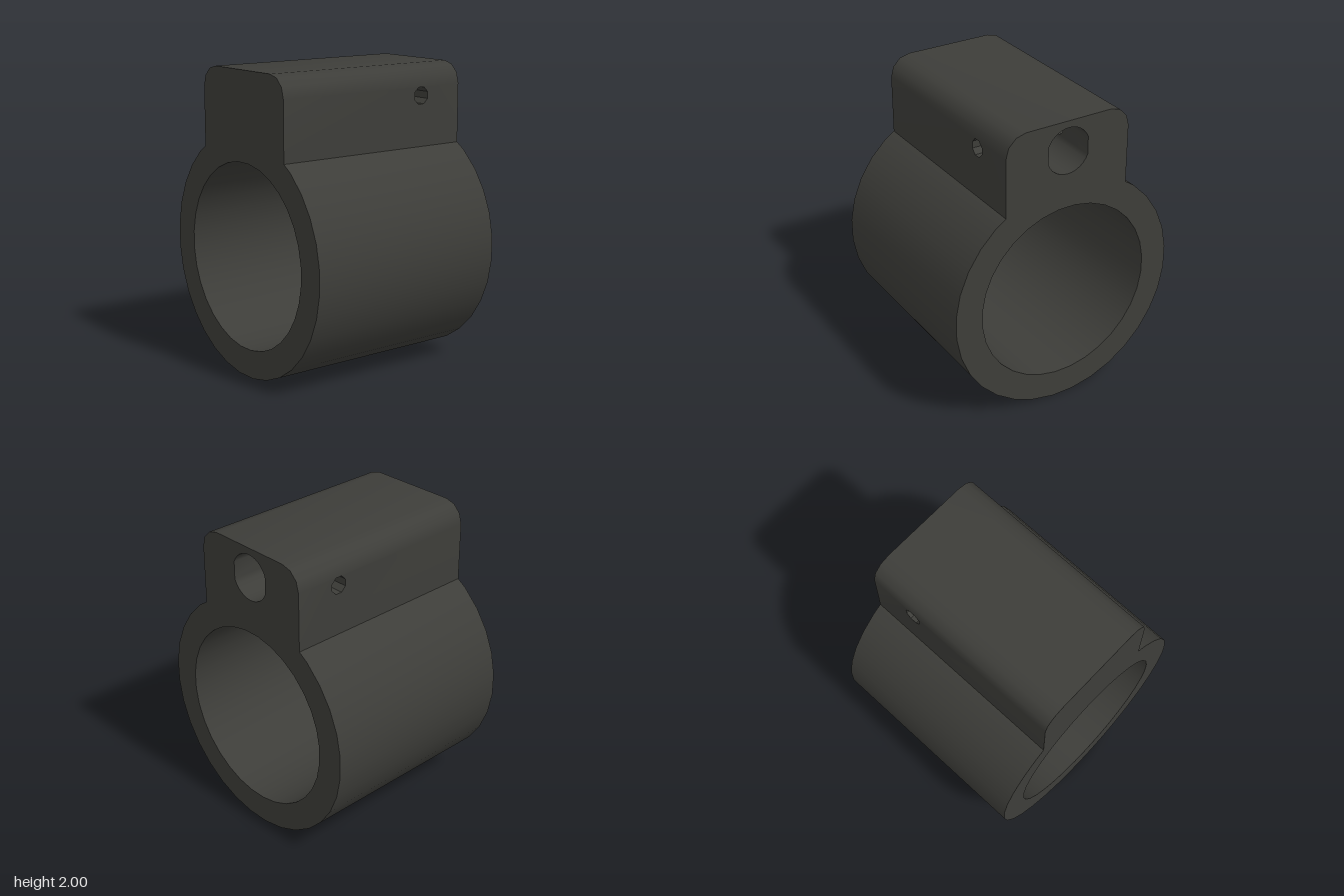
import * as THREE from 'three';
import { mergeGeometries, toCreasedNormals } from 'three/addons/utils/BufferGeometryUtils.js';

const H = 0.71, CY = 0.8;                       // half length, ring centre height
const STEP = Math.PI / 16, HALF = STEP / 2;     // 32-sided ring
const RO = 0.8 / Math.cos(HALF), RI = 0.6125 / Math.cos(HALF);
const W = 0.8 * Math.sin(3 * STEP), WY = CY + 0.8 * Math.cos(3 * STEP); // block side meets ring
const TUBE = 0.155, TY = 1.8, TEND = 0.45;      // blind hole in the block
const TX = TUBE * Math.cos(Math.PI / 8);
const PIN_Z = -0.385, PIN_R = 0.055 / Math.cos(Math.PI / 8);
const HEX = 0.17, HEX_A = HEX * 0.866, FLOOR = 0.11, POCKETS = [0, 0.45];
const EX = RO * Math.sin(HALF), OX = RO * Math.sin(3 * HALF);
const EH = HEX - (EX / HEX_A) * HEX / 2;        // pocket half length at the facet edge

// point on a circle around the ring centre, angle measured from straight down
const ringPoint = (r, t) => [r * Math.sin(t), CY - r * Math.cos(t)];
const arc = (n, f) => Array.from({ length: n + 1 }, (_, i) => f(i));
const mirror = pts => pts.map(([x, y]) => [-x, y]).reverse();

// height of the three lowest ring facets
const bottomY = x => Math.max(0, Math.abs(x) - EX) * (CY - RO * Math.cos(3 * HALF)) / (OX - EX);

function fromPositions(p) {
  const g = new THREE.BufferGeometry();
  g.setAttribute('position', new THREE.Float32BufferAttribute(p, 3));
  return g;
}

// surface between two matching rows of 3D points
function band(a, b) {
  const p = [];
  for (let i = 0; i < a.length - 1; i++) {
    p.push(...a[i], ...b[i], ...b[i + 1], ...a[i], ...b[i + 1], ...a[i + 1]);
  }
  return fromPositions(p);
}

// wall that carries an x,y profile along z
const strip = (pts, z0 = -H, z1 = H) =>
  band(pts.map(([x, y]) => [x, y, z1]), pts.map(([x, y]) => [x, y, z0]));

// flat outline with holes, placed in space by a mapping rule
function plate(pts, holes, map) {
  const toVec = ([u, v]) => new THREE.Vector2(u, v);
  const shape = new THREE.Shape(pts.map(toVec));
  holes.forEach(h => shape.holes.push(new THREE.Path(h.map(toVec))));
  const g = new THREE.ShapeGeometry(shape).toNonIndexed(), s = g.attributes.position, p = [];
  for (let i = 0; i < s.count; i++) p.push(...map(s.getX(i), s.getY(i)));
  return fromPositions(p);
}

const rect = (u0, v0, u1, v1) => [[u0, v0], [u1, v0], [u1, v1], [u0, v1]];

export function createModel() {
  const group = new THREE.Group();
  const material = new THREE.MeshStandardMaterial({ color: 0x3d3d39 });
  const add = (name, parts) => {
    const mesh = new THREE.Mesh(toCreasedNormals(mergeGeometries(parts), 0.6), material);
    mesh.name = name;
    group.add(mesh);
  };

  // profiles
  const rightRing = [...arc(11, i => ringPoint(RO, 3 * HALF + i * STEP)), [W, WY]];
  const rightCorner = arc(3, i => [
    W - 0.14 + 0.14 * Math.cos(i * Math.PI / 6), 1.86 + 0.14 * Math.sin(i * Math.PI / 6)]);
  const top = [...rightCorner, ...mirror(rightCorner)];
  const leftRing = mirror(rightRing);
  const bottom = arc(3, i => ringPoint(RO, (2 * i - 3) * HALF)).slice(1, 3);
  const outline = [...bottom, ...rightRing, ...top, ...leftRing];
  const bore = arc(32, i => ringPoint(RI, HALF + i * STEP)).reverse();
  const tubeArc = start => arc(12, i => {
    const t = start + Math.PI / 8 + i * Math.PI / 16;
    return [TUBE * Math.cos(t), TY + TUBE * Math.sin(t)];
  });
  const tubeArcs = [tubeArc(0), tubeArc(Math.PI)];
  const pin = arc(8, i => {
    const t = (i + 0.5) * Math.PI / 4;
    return [PIN_Z + PIN_R * Math.cos(t), TY + PIN_R * Math.sin(t)];
  });
  const pinHole = k => pin.slice(0, 8).map(([z, y]) => [k * z, y]);

  // outer skin: ring walls, rounded block top, block sides with pin holes
  const skin = [strip(rightRing), strip(top), strip(leftRing)];
  for (const s of [1, -1]) {
    skin.push(plate(rect(-H, WY, H, 1.86), [pinHole(-s)], (u, v) => [s * W, v, -s * u]));
  }

  // lowest facets, cut out around the hexagonal pockets
  const under = (x, z) => [x, bottomY(x), z];
  for (const s of [1, -1]) {
    const edge = [[OX, -H], [OX, H], [EX, H]];
    for (const c of [...POCKETS].reverse()) {
      edge.push([EX, c + EH], [HEX_A, c + HEX / 2], [HEX_A, c - HEX / 2], [EX, c - EH]);
    }
    edge.push([EX, -H]);
    skin.push(plate(edge.map(([x, z]) => [s * x, z]), [], under));
  }
  const rim = (c, k) => [[-EX, c + k * EH], [0, c + k * HEX], [EX, c + k * EH]];
  const end = z => [[-EX, z], [EX, z]];
  const lows = [end(-H), ...POCKETS.map(c => rim(c, 1))];
  const highs = [...POCKETS.map(c => rim(c, -1)), end(H)];
  lows.forEach((low, i) => skin.push(plate([...low, ...highs[i].reverse()], [], under)));

  // end faces
  const boreHole = bore.slice(0, 32);
  skin.push(plate(outline, [boreHole], (u, v) => [u, v, H]));
  skin.push(plate(outline, [boreHole, tubeArcs.flat()], (u, v) => [-u, v, -H]));
  add('body', skin);

  add('bore', [strip(bore)]);

  // blind hole from the back, with side panels pierced by the cross pin
  const tube = tubeArcs.map(a => strip([...a].reverse(), -H, TEND));
  for (const s of [1, -1]) {
    const y = TUBE * Math.sin(Math.PI / 8);
    tube.push(plate(rect(-s * H, TY - y, s * TEND, TY + y), [pinHole(s)],
      (u, v) => [s * TX, v, s * u]));
  }
  tube.push(plate(tubeArcs.flat(), [], (u, v) => [-u, v, TEND]));
  add('tubeSocket', tube);

  // cross pin hole on both sides of the socket
  const pinAt = x => pin.map(([z, y]) => [x, y, z]);
  add('pinHole', [band(pinAt(W), pinAt(TX)), band(pinAt(-TX), pinAt(-W))]);

  // hexagonal screw pockets underneath
  const side = [[0, HEX], [EX, EH], [HEX_A, HEX / 2], [HEX_A, -HEX / 2], [EX, -EH], [0, -HEX]];
  const hex = [...side, ...mirror(side).slice(1)];
  POCKETS.forEach((c, i) => {
    const loop = hex.map(([x, z]) => [x, z + c]);
    add('screwPocket' + (i + 1), [
      band(loop.map(([x, z]) => under(x, z)), loop.map(([x, z]) => [x, FLOOR, z])),
      plate(loop.slice(0, -1), [], (x, z) => [x, FLOOR, z]),
    ]);
  });
  return group;
}
